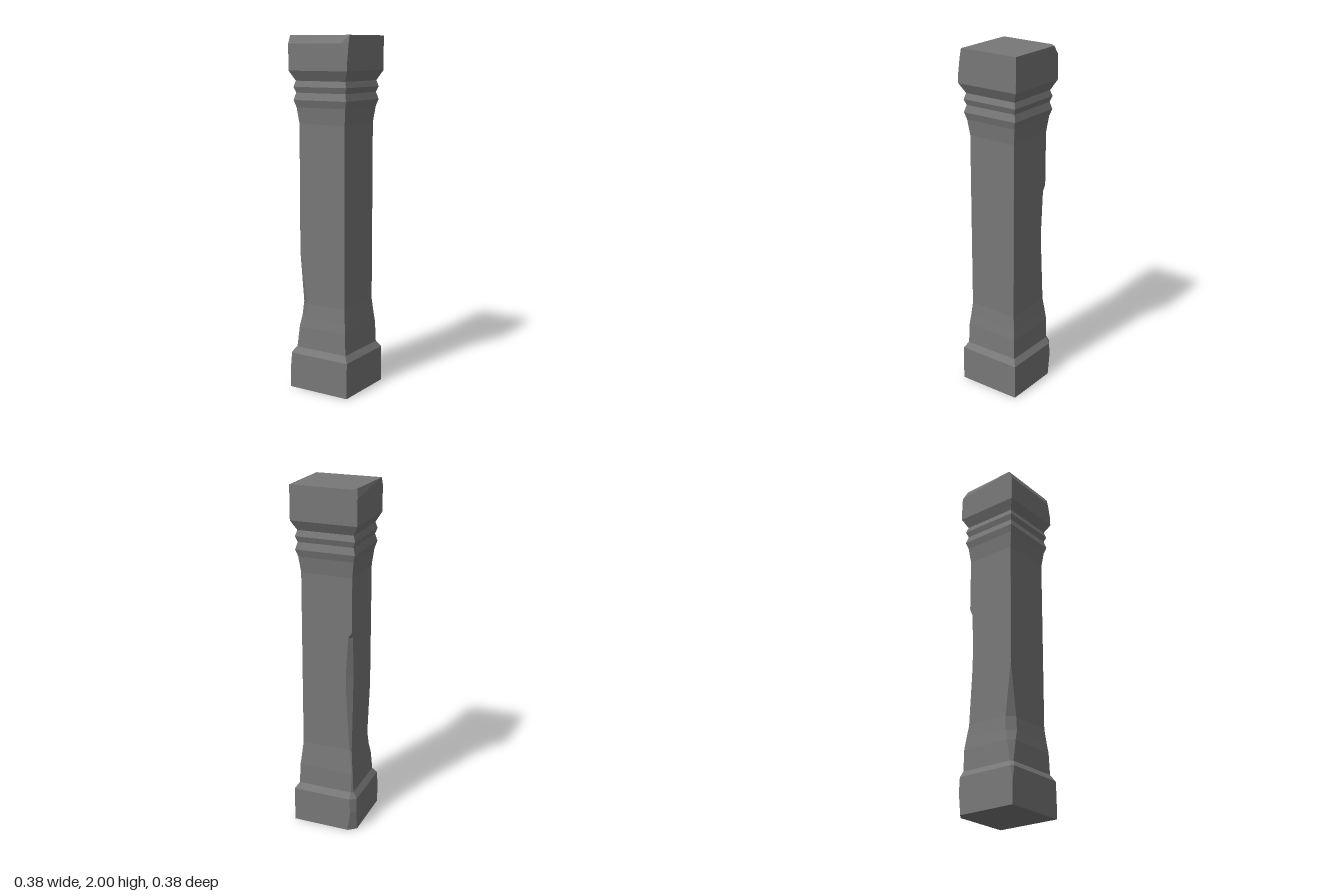
import * as THREE from 'three';

// Height, half width, then how far each corner is chipped:
// front left, back left, back right, front right
const RINGS = [
  [0.00, 0.190, 0, 0, 0.045, 0],
  [0.12, 0.190, 0, 0, 0.030, 0],
  [0.205, 0.190, 0.01, 0, 0.035, 0.015],
  [0.24, 0.167, 0, 0, 0.012, 0.015],
  [0.36, 0.163, 0, 0, 0.005, 0.035],
  [0.42, 0.156, 0, 0, 0.005, 0.048],
  [0.50, 0.148, 0, 0, 0.010, 0.045],
  [0.80, 0.148, 0, 0, 0.030, 0],
  [0.95, 0.148, 0, 0, 0.035, 0],
  [1.18, 0.148, 0, 0, 0.022, 0],
  [1.21, 0.148, 0, 0, 0, 0],
  [1.52, 0.148, 0, 0, 0, 0],
  [1.61, 0.159, 0, 0, 0, 0],
  [1.65, 0.171, 0, 0, 0, 0],
  [1.69, 0.160, 0, 0, 0, 0],
  [1.722, 0.171, 0, 0, 0, 0],
  [1.755, 0.161, 0, 0, 0, 0],
  [1.81, 0.190, 0, 0, 0, 0],
  [1.86, 0.190, 0, 0, 0, 0],
  [1.955, 0.190, 0.04, 0, 0.005, 0],
  [2.00, 0.190, 0.01, 0, 0.04, 0],
];
// Side signs of each corner, and how deep its chips run along z compared with x
const CORNERS = [[1, 1, 0.35], [1, -1, 1], [-1, -1, 0.8], [-1, 1, 0.8]];

// Square cross-section with each corner cut by its chip, counter-clockwise from above
function ringPoints([y, h, ...chips], top) {
  return CORNERS.flatMap(([sx, sz, depth], i) => {
    const c = Math.max(chips[i], 0.0008);
    const pair = [[sx * (h - c), sz * h], [sx * h, sz * (h - c * depth)]];
    if (sx * sz < 0) pair.reverse();
    // The top edge is worn back along the front and slightly along the right side
    return pair.map(([x, z]) => top
      ? [Math.max(x, -0.182 - 0.04 * z), y, Math.min(z, 0.169 - 0.012 * x)]
      : [x, y, z]);
  });
}

function loftGeometry(rings) {
  const n = rings[0].length;
  const index = [];
  for (let r = 0; r < rings.length - 1; r++) {
    for (let i = 0; i < n; i++) {
      const a = r * n + i, b = r * n + (i + 1) % n;
      index.push(a, b, b + n, a, b + n, a + n);
    }
  }
  // End caps
  const t = (rings.length - 1) * n;
  for (let i = 1; i < n - 1; i++) {
    index.push(0, i + 1, i, t, t + i, t + i + 1);
  }
  const indexed = new THREE.BufferGeometry();
  indexed.setAttribute('position', new THREE.Float32BufferAttribute(rings.flat(2), 3));
  indexed.setIndex(index);
  const geometry = indexed.toNonIndexed();
  geometry.computeVertexNormals();
  return geometry;
}

export function createModel() {
  const group = new THREE.Group();
  group.name = 'stonePillar';
  const stone = new THREE.MeshStandardMaterial({ color: 0x787878, flatShading: true });
  // One continuous stone: plinth, flared shaft, ribbed neck and block capital
  const rings = RINGS.map((ring, i) => ringPoints(ring, i === RINGS.length - 1));
  const pillar = new THREE.Mesh(loftGeometry(rings), stone);
  pillar.name = 'wornPillar';
  group.add(pillar);
  return group;
}
